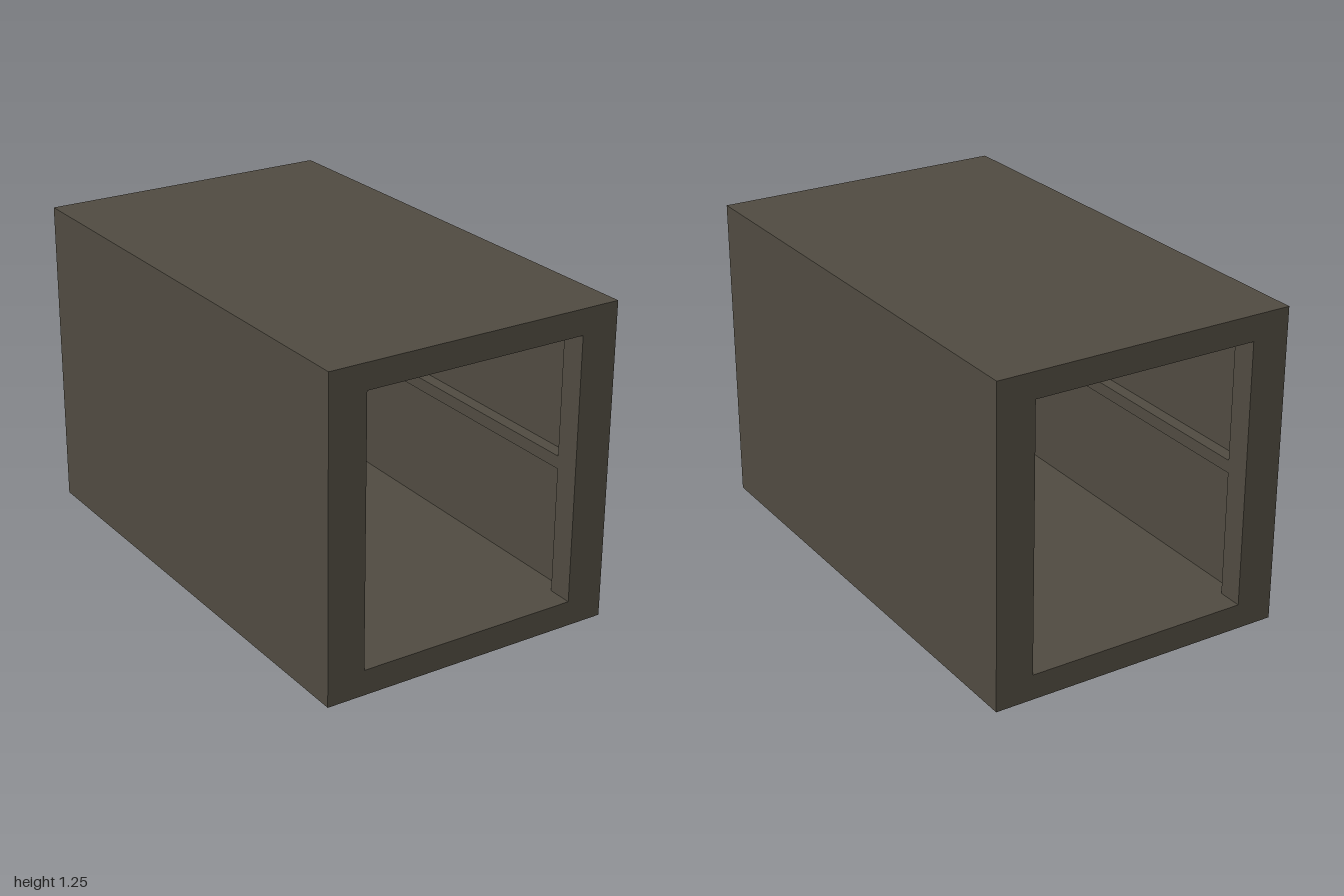
import * as THREE from 'three';

const W = 1.2, H = 1.25, L = 2;
const FRAME_DEPTH = 0.1;   // depth of each end frame
const SLAB = 0.1;          // floor, roof and side wall thickness
const JAMB = 0.15;         // side thickness of the end frames
const RAIL = 0.05;

export function createModel() {
  const group = new THREE.Group();
  group.name = 'tunnelBox';
  const darkStone = new THREE.MeshStandardMaterial({ color: 0x4f4a40 });
  darkStone.name = 'darkStone';

  // Rectangular ring, extruded along z from z0
  function ring(name, side, z0, depth) {
    const shape = new THREE.Shape([
      new THREE.Vector2(-W / 2, 0), new THREE.Vector2(W / 2, 0),
      new THREE.Vector2(W / 2, H), new THREE.Vector2(-W / 2, H),
    ]);
    const x = W / 2 - side;
    shape.holes.push(new THREE.Path([
      new THREE.Vector2(-x, SLAB), new THREE.Vector2(-x, H - SLAB),
      new THREE.Vector2(x, H - SLAB), new THREE.Vector2(x, SLAB),
    ]));
    const geometry = new THREE.ExtrudeGeometry(shape, { depth, bevelEnabled: false });
    const mesh = new THREE.Mesh(geometry, darkStone);
    mesh.name = name;
    mesh.position.z = z0;
    group.add(mesh);
  }

  // Open-ended body with a thicker frame at each end
  ring('body', SLAB, -L / 2 + FRAME_DEPTH, L - 2 * FRAME_DEPTH);
  ring('frontFrame', JAMB, L / 2 - FRAME_DEPTH, FRAME_DEPTH);
  ring('backFrame', JAMB, -L / 2, FRAME_DEPTH);

  // Inner rail along each side wall, flush with the jambs
  for (const [name, s] of [['leftRail', 1], ['rightRail', -1]]) {
    const rail = new THREE.Mesh(
      new THREE.BoxGeometry(RAIL, RAIL, L - 2 * FRAME_DEPTH), darkStone);
    rail.name = name;
    rail.position.set(s * (W / 2 - SLAB - RAIL / 2), 0.625, 0);
    group.add(rail);
  }
  return group;
}
